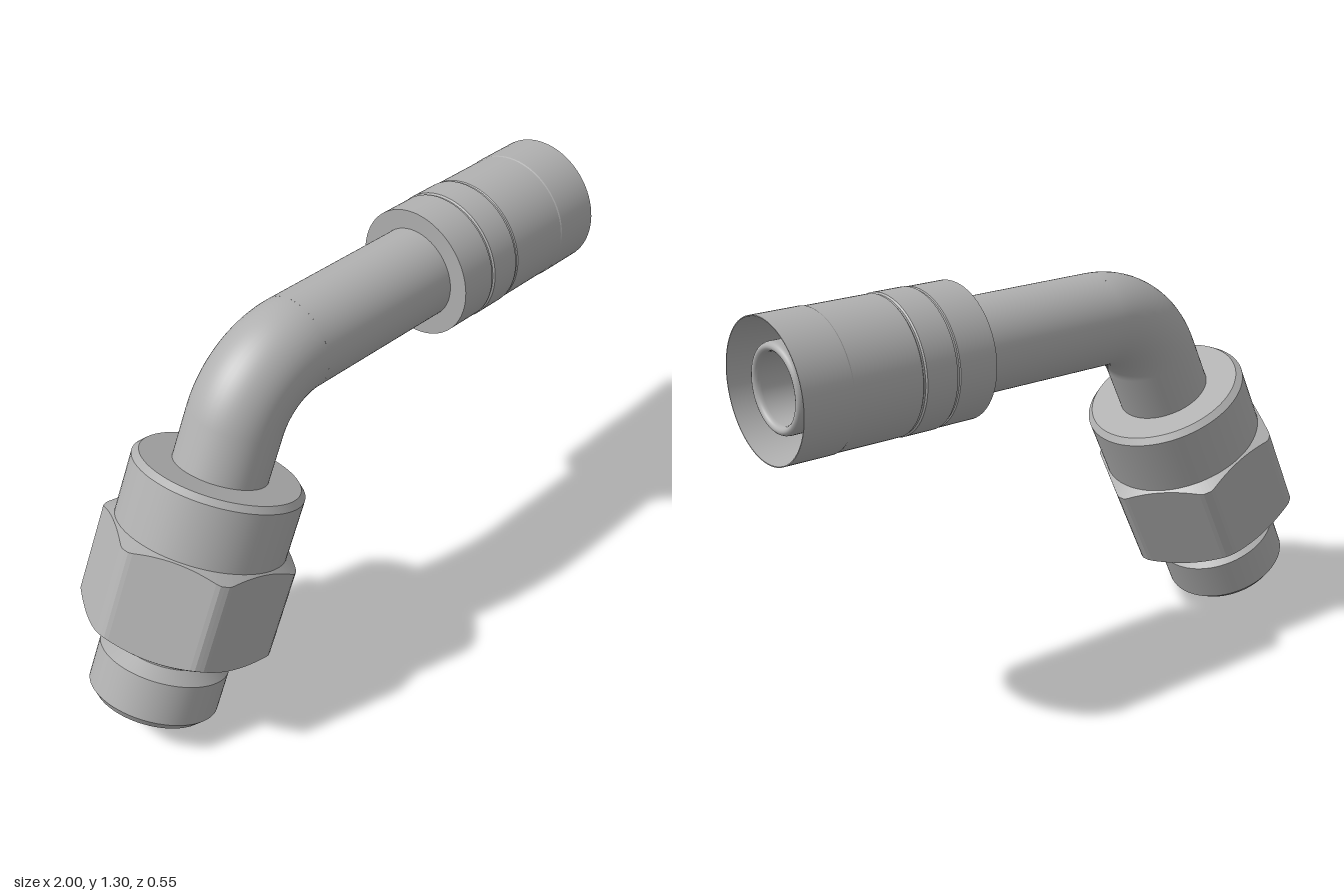
import * as THREE from 'three';
import { mergeGeometries } from 'three/addons/utils/BufferGeometryUtils.js';

const steel = new THREE.MeshStandardMaterial({ color: 0xb0b0b0, side: THREE.DoubleSide });
steel.name = 'steel';

const TILT = THREE.MathUtils.degToRad(25);
const PIPE_R = 0.149, BORE_R = 0.105, BEND_R = 0.27;

function part(name, geometry, parent) {
  const mesh = new THREE.Mesh(geometry, steel);
  mesh.name = name;
  parent.add(mesh);
  return mesh;
}

// Turned part with a crisp edge at every profile point [radius, height]
function turned(profile) {
  const bands = [];
  for (let i = 0; i < profile.length - 1; i++) {
    const pair = [profile[i], profile[i + 1]].map(([r, y]) => new THREE.Vector2(r, y));
    bands.push(new THREE.LatheGeometry(pair, 72));
  }
  return mergeGeometries(bands);
}

// Hexagon with conical chamfers at both ends and slightly turned-down corners
function hexNut(flat, corner, top, bottom) {
  const n = 144, rim = 0.268, slope = 0.58;
  const rings = [[], [], [], []];
  for (let i = 0; i < n; i++) {
    const a = (i / n) * Math.PI * 2;
    const fromFlat = (a % (Math.PI / 3)) - Math.PI / 6;
    const r = Math.min(flat / Math.cos(fromFlat), corner);
    const drop = (r - rim) * slope;
    const levels = [[rim, bottom], [r, bottom + drop], [r, top - drop], [rim, top]];
    levels.forEach(([q, y], k) => rings[k].push([q * Math.cos(a), y, -q * Math.sin(a)]));
  }
  const pos = [];
  for (let k = 0; k < 3; k++) {
    for (let i = 0; i < n; i++) {
      const j = (i + 1) % n;
      const a = rings[k][i], b = rings[k][j], c = rings[k + 1][j], d = rings[k + 1][i];
      pos.push(...a, ...b, ...c, ...a, ...c, ...d);
    }
  }
  const g = new THREE.BufferGeometry();
  g.setAttribute('position', new THREE.Float32BufferAttribute(pos, 3));
  g.computeVertexNormals();
  return g;
}

export function createModel() {
  const model = new THREE.Group();
  model.name = 'elbowFitting';

  // Tilted threaded end; its origin is the centre of the collar's top face
  const lower = new THREE.Group();
  lower.name = 'threadedEnd';
  lower.position.set(-0.492, 0.794, 0);
  lower.rotation.z = -TILT;
  model.add(lower);

  part('collar', turned([[0.268, -0.23], [0.268, -0.018], [0.25, 0], [0.14, 0]]), lower);
  part('hexNut', hexNut(0.275, 0.308, -0.212, -0.54), lower);
  part('nutUnderside', turned([[0.18, -0.54], [0.268, -0.54]]), lower);
  part('threadedSpigot', turned([
    [BORE_R, -0.45], [0.115, -0.66], [0.14, -0.793], [0.18, -0.793], [0.205, -0.766],
    [0.205, -0.632], [0.17, -0.606], [0.162, -0.6], [0.162, -0.565], [0.168, -0.55], [0.185, -0.54],
  ]), lower);
  part('lowerPipe', turned([[PIPE_R, -0.02], [PIPE_R, 0.155]]), lower);
  part('lowerBore', turned([[BORE_R, 0.155], [BORE_R, -0.45]]), lower);

  // Bend, outside and inside
  for (const [name, r] of [['bend', PIPE_R], ['bendBore', BORE_R]]) {
    const bend = part(name, new THREE.TorusGeometry(BEND_R, r, 48, 32, Math.PI / 2 - TILT), model);
    bend.position.set(-0.182, 0.82, 0);
    bend.rotation.z = Math.PI / 2;
  }

  // Horizontal hose end; local height runs along world x
  const hoseEnd = new THREE.Group();
  hoseEnd.name = 'hoseEnd';
  hoseEnd.position.set(0, 1.09, 0);
  hoseEnd.rotation.z = -Math.PI / 2;
  model.add(hoseEnd);

  part('straightPipe', turned([[PIPE_R, -0.182], [PIPE_R, 0.38]]), hoseEnd);
  part('crimpSleeve', turned([
    [0.14, 0.36], [0.211, 0.36], [0.211, 0.488], [0.207, 0.49], [0.207, 0.496], [0.213, 0.5],
    [0.213, 0.603], [0.208, 0.607], [0.208, 0.613], [0.211, 0.616], [0.211, 0.838], [0.213, 0.842],
    [0.213, 1], [0.21, 1], [0.195, 0.84], [0.13, 0.84],
  ]), hoseEnd);

  // Inner nipple with a rounded lip
  const lip = [new THREE.Vector2(0.134, 0.83)];
  for (let i = 0; i <= 8; i++) {
    const a = (i / 8) * Math.PI;
    lip.push(new THREE.Vector2(0.1195 + 0.0145 * Math.cos(a), 0.95 + 0.02 * Math.sin(a)));
  }
  lip.push(new THREE.Vector2(BORE_R, -0.182));
  part('hoseNipple', new THREE.LatheGeometry(lip, 72), hoseEnd);

  return model;
}
